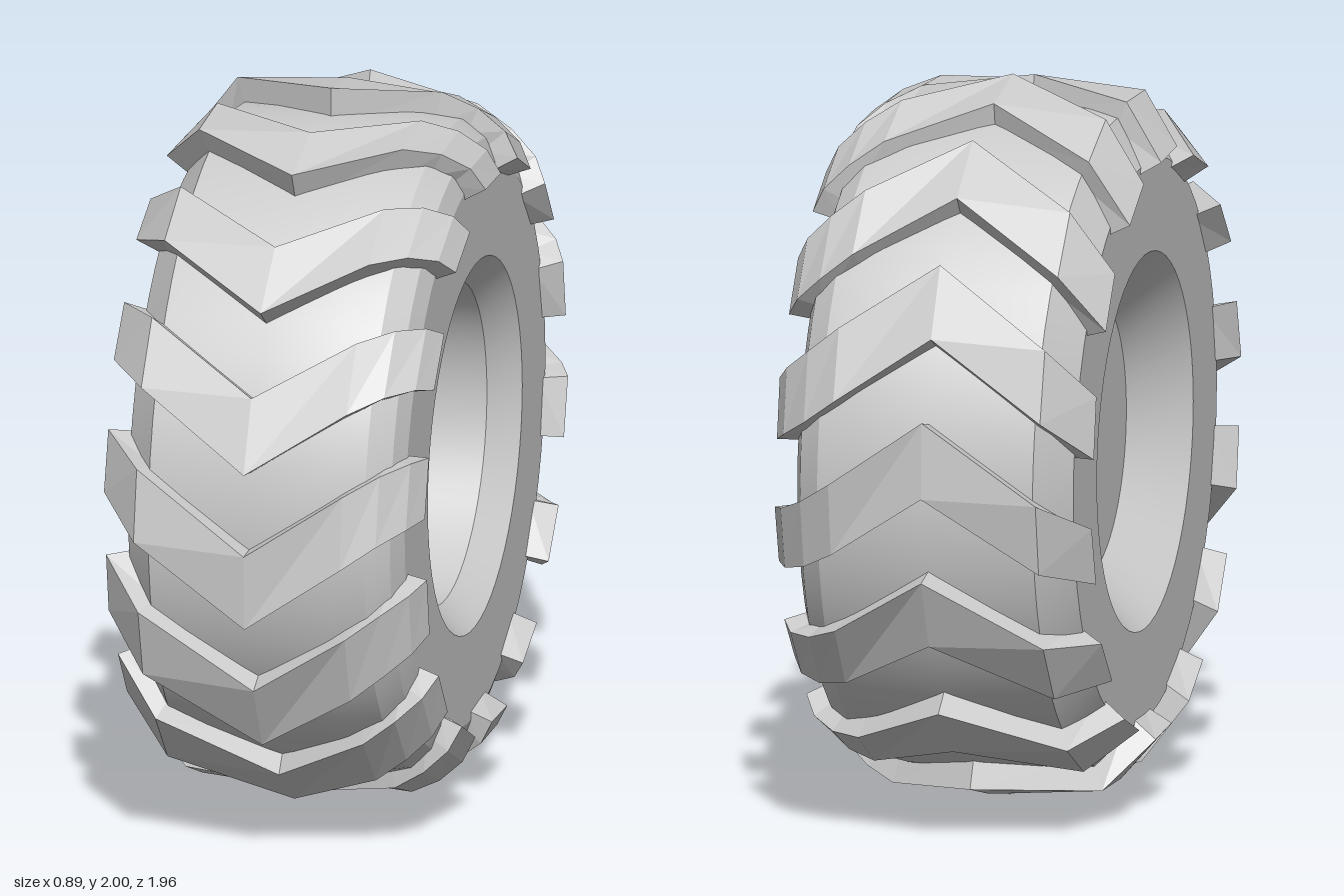
import * as THREE from 'three';
import { toCreasedNormals } from 'three/addons/utils/BufferGeometryUtils.js';

const LUGS = 14;
const rad = THREE.MathUtils.degToRad;

// Tyre carcass with wheel recesses: [x along the axle, radius], left to right
const bodyProfile = [
  [-0.24, 0], [-0.24, 0.375], [-0.39, 0.52], [-0.39, 0.775], [-0.305, 0.89],
  [-0.015, 0.92], [0.2, 0.91], [0.3, 0.89], [0.36, 0.84], [0.385, 0.775],
  [0.385, 0.52], [0.305, 0.445], [0, 0.445], [0, 0],
];

// Tread lug stations: outer x, outer radius, inner x, inner radius, sweep in degrees
const lugStations = [
  [-0.45, 0.81, -0.37, 0.745, 18.5],
  [-0.33, 0.955, -0.3, 0.86, 12.6],
  [-0.015, 1.0, -0.015, 0.89, 0],
  [0.25, 0.965, 0.23, 0.87, 10.8],
  [0.34, 0.92, 0.31, 0.85, 14.4],
  [0.41, 0.86, 0.345, 0.8, 16.8],
  [0.445, 0.79, 0.37, 0.745, 18],
];

// Point at an angle measured from the front (+z) up towards +y
function polar(x, r, degrees) {
  return [x, r * Math.sin(rad(degrees)), r * Math.cos(rad(degrees))];
}

// One chevron lug: four-cornered sections joined from left to right
function lugGeometry() {
  const half = 6.1;
  const sections = lugStations.map(([xo, ro, xi, ri, sweep]) => [
    polar(xo, ro, sweep - half),
    polar(xo, ro * 0.98, sweep + half),
    polar(xi, ri, sweep + half),
    polar(xi, ri, sweep - half),
  ]);
  const positions = [];
  const quad = (a, b, c, d) => positions.push(...a, ...b, ...c, ...a, ...c, ...d);
  for (let i = 0; i < sections.length - 1; i++) {
    const s = sections[i], t = sections[i + 1];
    for (let j = 0; j < 4; j++) {
      const k = (j + 1) % 4;
      quad(s[j], t[j], t[k], s[k]);
    }
  }
  quad(...sections[0]);
  quad(...sections[sections.length - 1].slice().reverse());
  const geometry = new THREE.BufferGeometry();
  geometry.setAttribute('position', new THREE.Float32BufferAttribute(positions, 3));
  geometry.computeVertexNormals();
  return geometry;
}

export function createModel() {
  const group = new THREE.Group();
  group.name = 'tractorTyre';
  const smooth = new THREE.MeshStandardMaterial({ color: 0xcccccc });
  const faceted = new THREE.MeshStandardMaterial({ color: 0xcccccc, flatShading: true });

  // Carcass, turned about the axle
  const lathe = new THREE.LatheGeometry(bodyProfile.map(([x, r]) => new THREE.Vector2(r, x)), 56);
  lathe.rotateZ(-Math.PI / 2);
  const body = new THREE.Mesh(toCreasedNormals(lathe, rad(20)), smooth);
  body.name = 'tyreBody';
  body.position.y = 1;
  group.add(body);

  // Ring of chevron lugs
  const tread = new THREE.Group();
  tread.name = 'tread';
  tread.position.y = 1;
  const geometry = lugGeometry();
  for (let i = 0; i < LUGS; i++) {
    const lug = new THREE.Mesh(geometry, faceted);
    lug.name = 'treadLug';
    lug.rotation.x = -rad(18 + (i * 360) / LUGS);
    tread.add(lug);
  }
  group.add(tread);
  return group;
}
